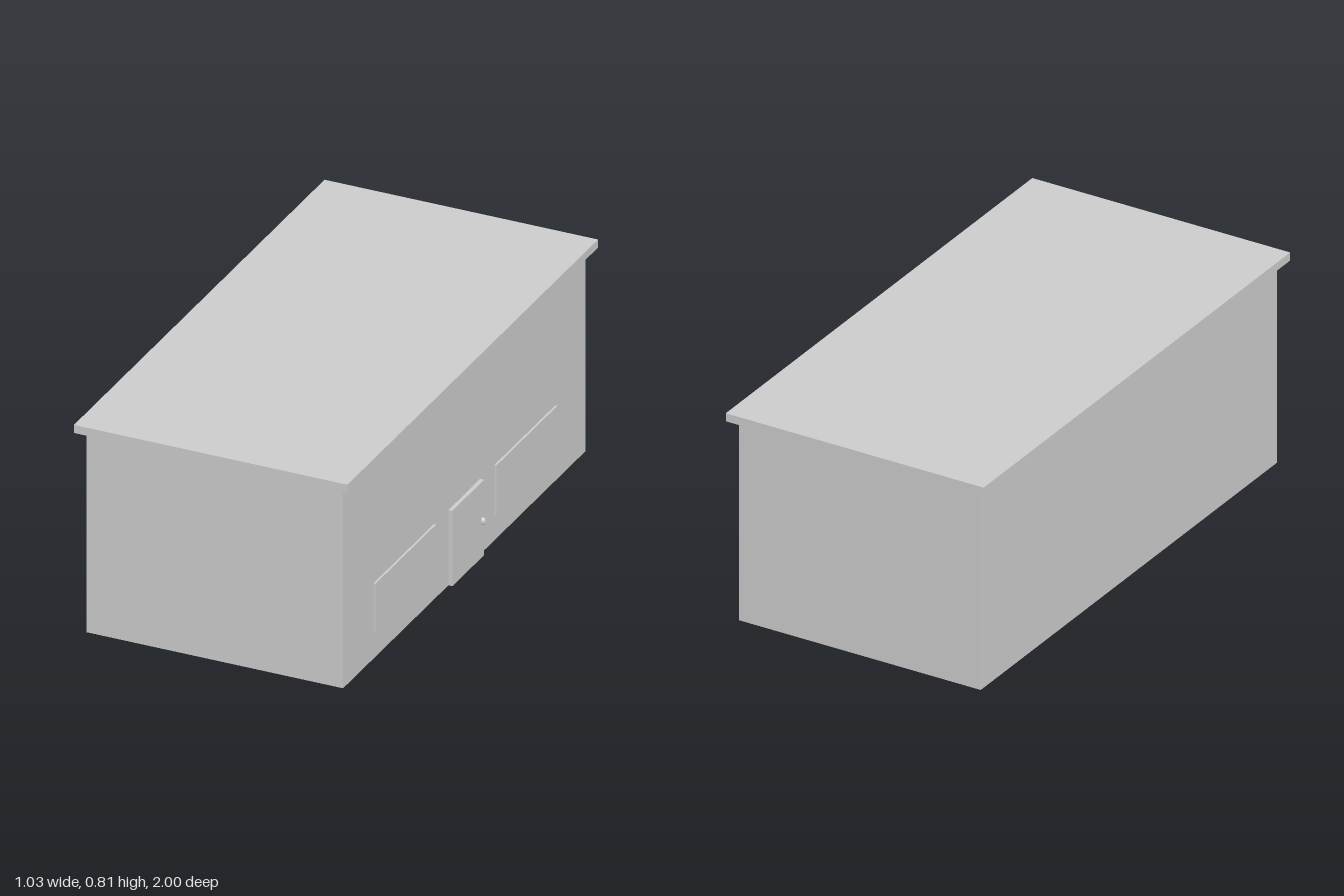
import * as THREE from 'three';

const material = new THREE.MeshStandardMaterial({ color: 0xcccccc });

function box(name, [x0, x1], [y0, y1], [z0, z1]) {
  const mesh = new THREE.Mesh(new THREE.BoxGeometry(x1 - x0, y1 - y0, z1 - z0), material);
  mesh.position.set((x0 + x1) / 2, (y0 + y1) / 2, (z0 + z1) / 2);
  mesh.name = name;
  return mesh;
}

export function createModel() {
  const group = new THREE.Group();
  group.name = 'building';
  const wall = 0.484;

  // Main block and overhanging flat roof
  group.add(box('walls', [-wall, wall], [0, 0.775], [-0.967, 0.967]));
  group.add(box('roof', [-0.516, 0.516], [0.775, 0.806], [-1, 1]));

  // Door panel with an oval knob on the +x wall
  group.add(box('door', [wall - 0.01, 0.499], [0, 0.29], [-0.127, 0.127]));
  const knob = new THREE.Mesh(new THREE.SphereGeometry(1, 24, 16), material);
  knob.name = 'doorKnob';
  knob.scale.set(0.013, 0.015, 0.01);
  knob.position.set(0.499, 0.138, -0.112);
  group.add(knob);

  // Wide windows either side of the door
  for (const side of [1, -1]) {
    const window = box('window', [wall - 0.01, 0.492], [0.098, 0.29], [-0.242, 0.242]);
    window.position.z = side * 0.484;
    group.add(window);
  }
  return group;
}
